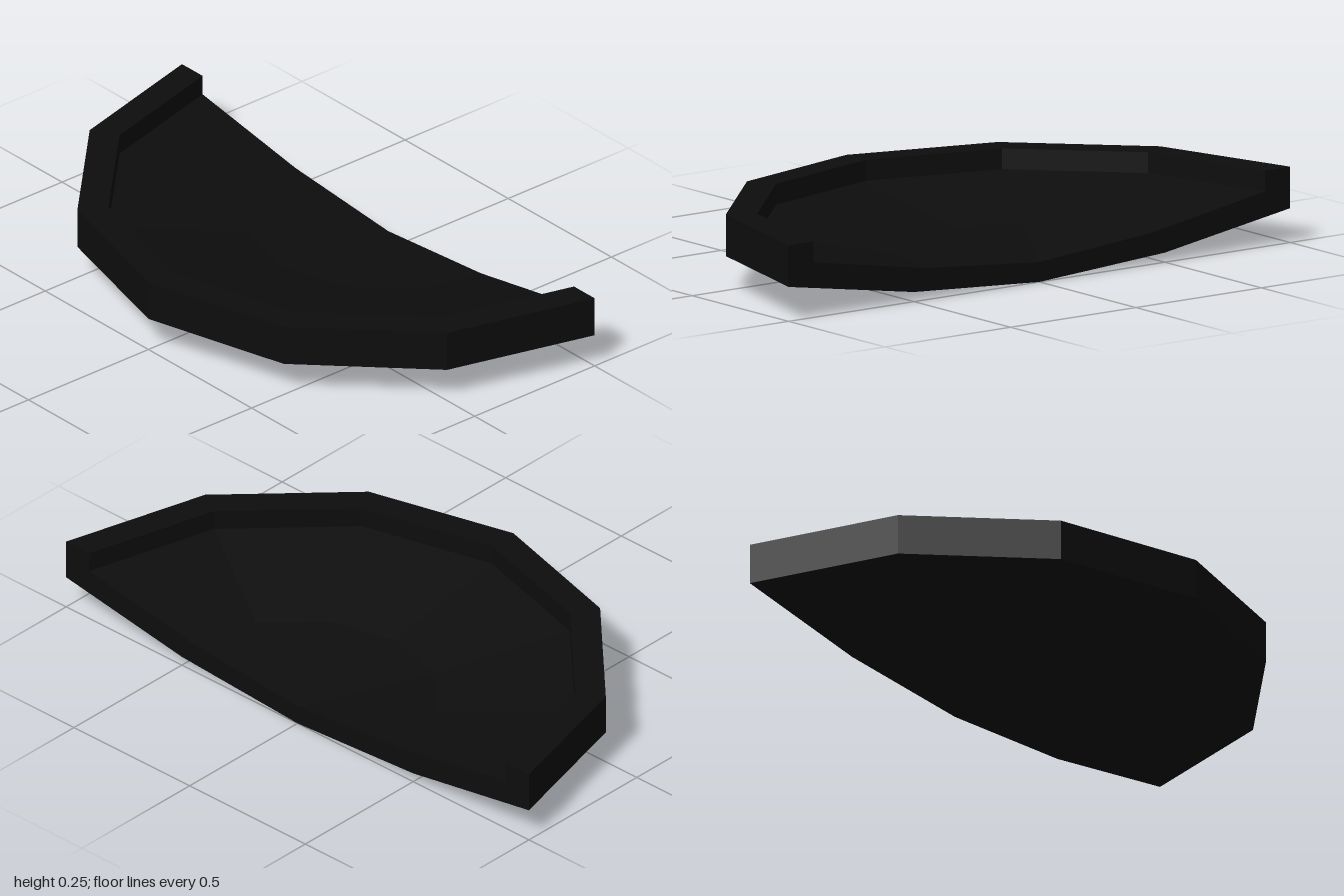
import * as THREE from 'three';

// Half cross-section [radius, height], from the underside's centre round to the floor's centre
const PROFILE = [
  [0, 0], [0.5, 0.031], [1, 0.111],           // underside
  [1, 0.245], [0.9, 0.245], [0.9, 0.178],     // rim
  [0.45, 0.102], [0, 0.064],                  // floor
].map(([r, y]) => new THREE.Vector2(r, y));

export function createModel() {
  const model = new THREE.Group();
  model.name = 'halfDish';
  const black = new THREE.MeshStandardMaterial({ color: 0x0d0d0d, flatShading: true });
  black.name = 'black';

  const add = (name, geometry) => {
    const mesh = new THREE.Mesh(geometry, black);
    mesh.name = name;
    mesh.position.x = 0.5;
    model.add(mesh);
  };

  // Half of a twelve-sided dish, swept round its centre on the cut side
  const bands = { underside: [0, 3], rim: [2, 6], floor: [5, 8] };
  for (const [name, [from, to]] of Object.entries(bands)) {
    add(name, new THREE.LatheGeometry(PROFILE.slice(from, to), 6, Math.PI, Math.PI));
  }

  // Flat cut face closing the open side
  const mirrored = PROFILE.slice(1, -1).reverse().map((p) => new THREE.Vector2(-p.x, p.y));
  const section = new THREE.Shape([...PROFILE, ...mirrored]);
  add('cutFace', new THREE.ShapeGeometry(section).rotateY(Math.PI / 2));

  return model;
}
